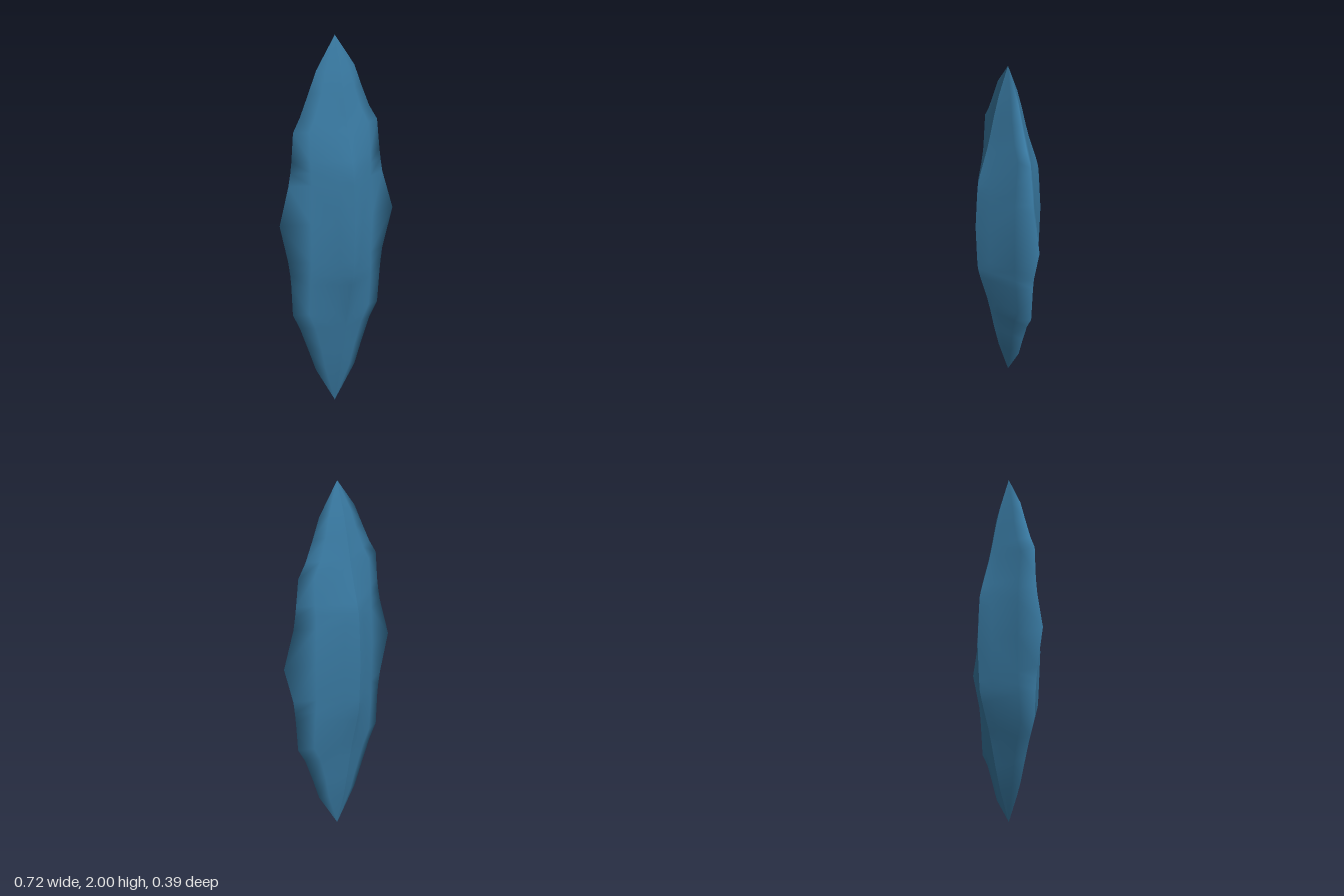
import * as THREE from 'three';

// Lower-half rows up to the middle:
// height, left width, right width, ridge depth, shoulder (fraction of width, of depth)
const ROWS = [
  [0, 0, 0, 0, 0.6, 0.4],
  [0.18, 0.12, 0.125, 0.055, 0.6, 0.4],
  [0.3, 0.17, 0.17, 0.082, 0.62, 0.38],
  [0.42, 0.222, 0.22, 0.105, 0.66, 0.35],
  [0.5, 0.267, 0.27, 0.122, 0.7, 0.31],
  [0.66, 0.277, 0.285, 0.165, 0.68, 0.31],
  [0.72, 0.284, 0.292, 0.179, 0.66, 0.31],
  [0.79, 0.296, 0.303, 0.184, 0.63, 0.31],
  [1, 0.352, 0.368, 0.193, 0.54, 0.32],
];
const RIDGE_X = -0.008;

// One smooth half, running from the front ridge around the rim to the back ridge
function halfGeometry(side) {
  const upper = ROWS.slice(0, -1).reverse().map(([y, ...rest]) => [2 - y, ...rest]);
  const rows = [...ROWS, ...upper];
  const positions = [];
  const index = [];
  const n = 7;
  for (const [y, left, right, depth, u, v] of rows) {
    const width = side > 0 ? right : left;
    const front = [[0, 1], [0.21, 0.78], [u, v]];
    const back = front.map(([a, b]) => [a, -b]).reverse();
    for (const [a, b] of [...front, [1, 0], ...back]) {
      positions.push(RIDGE_X + side * width * a, y, depth * b);
    }
  }
  const addFace = (a, b, c) => index.push(...(side > 0 ? [a, b, c] : [a, c, b]));
  for (let i = 0; i < rows.length - 1; i++) {
    for (let j = 0; j < n - 1; j++) {
      const a = i * n + j;
      const d = a + n;
      if (i > 0) addFace(a, a + 1, d + 1 - (i === rows.length - 2 ? 1 : 0));
      if (i < rows.length - 2) addFace(a, d + 1, d);
    }
  }
  const geometry = new THREE.BufferGeometry();
  geometry.setAttribute('position', new THREE.Float32BufferAttribute(positions, 3));
  geometry.setIndex(index);
  geometry.computeVertexNormals();
  return geometry;
}

export function createModel() {
  const group = new THREE.Group();
  group.name = 'crystalShard';
  const blue = new THREE.MeshStandardMaterial({ color: 0x3a7ca5 });
  blue.name = 'crystalBlue';

  // Two halves meeting in a sharp ridge at the front and back
  for (const [name, side] of [['leftHalf', 1], ['rightHalf', -1]]) {
    const mesh = new THREE.Mesh(halfGeometry(side), blue);
    mesh.name = name;
    group.add(mesh);
  }
  return group;
}
